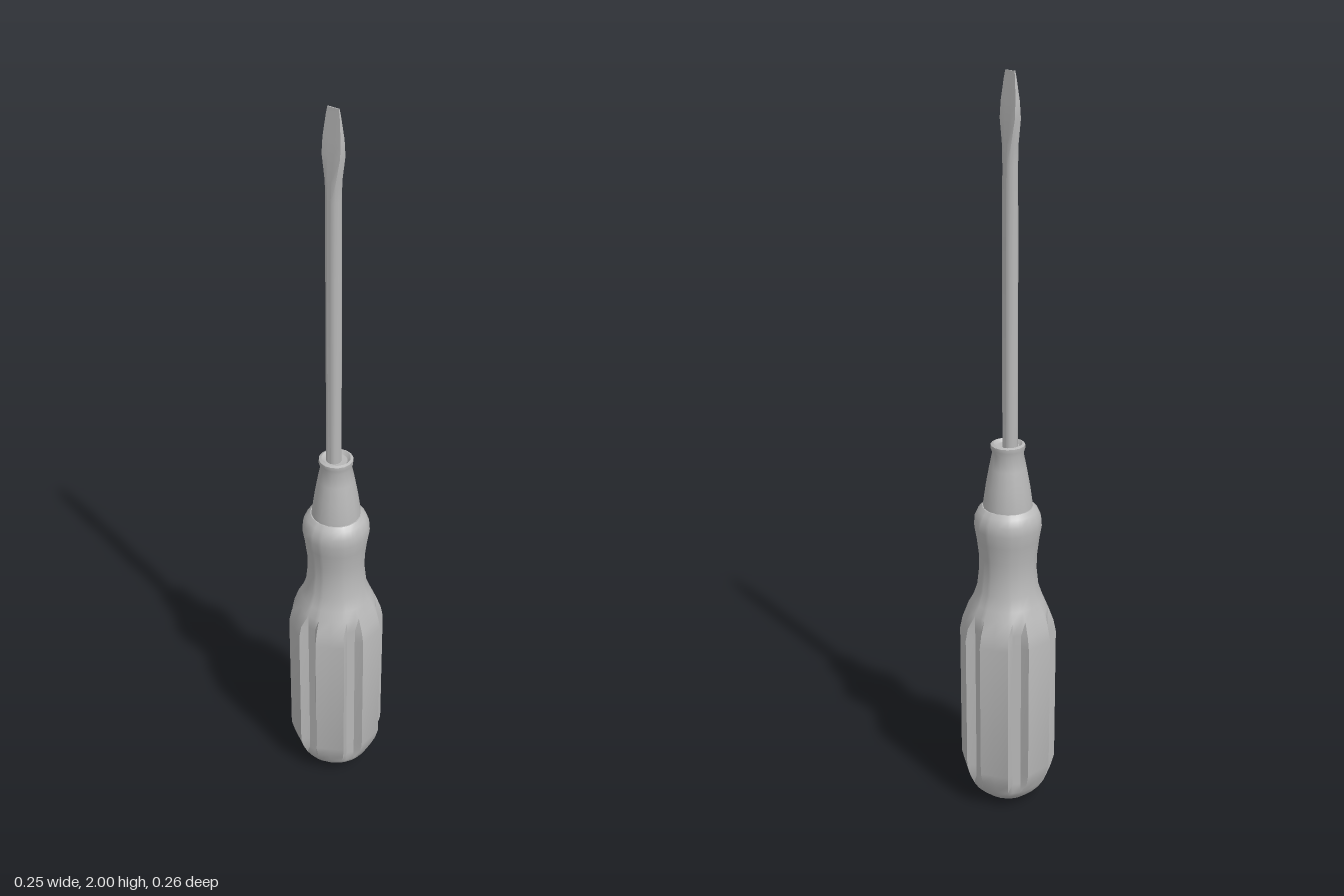
import * as THREE from 'three';
import { toCreasedNormals } from 'three/addons/utils/BufferGeometryUtils.js';

// Skin a stack of equal-length rings of [x, y, z] points, listed from bottom to top, with capped ends
function loft(rings, crease) {
  const n = rings[0].length;
  const pos = rings.flat(2);
  const index = [];
  for (let j = 0; j < rings.length - 1; j++) {
    for (let i = 0; i < n; i++) {
      const a = j * n + i, b = j * n + (i + 1) % n;
      index.push(a, a + n, b, b, a + n, b + n);
    }
  }
  const cap = (ring, start, up) => {
    const centre = pos.length / 3;
    for (let k = 0; k < 3; k++) pos.push(ring.reduce((s, p) => s + p[k], 0) / n);
    for (let i = 0; i < n; i++) {
      const a = start + i, b = start + (i + 1) % n;
      if (up) index.push(centre, b, a);
      else index.push(centre, a, b);
    }
  };
  cap(rings[0], 0, false);
  cap(rings[rings.length - 1], (rings.length - 1) * n, true);
  const geo = new THREE.BufferGeometry();
  geo.setAttribute('position', new THREE.Float32BufferAttribute(pos, 3));
  geo.setIndex(index);
  return toCreasedNormals(geo, crease);
}

// Handle ring: round where thin, six flat lobes with grooves between them where thick
function handleRing(r, y) {
  const ring = [];
  const section = [
    [-17.5, r],
    [0, Math.min(r, Math.max(r * Math.cos(0.305), 0.1))],
    [17.5, r],
    [24, Math.min(r, 0.109)],
    [36, Math.min(r, 0.109)],
  ];
  for (let lobe = 0; lobe < 6; lobe++) {
    for (const [deg, rad] of section) {
      const a = THREE.MathUtils.degToRad(lobe * 60 + deg);
      ring.push([Math.cos(a) * rad, y, Math.sin(a) * rad]);
    }
  }
  return ring;
}

export function createModel() {
  const group = new THREE.Group();
  const steel = new THREE.MeshStandardMaterial({ color: 0xb8b8b8 });
  steel.name = 'plain grey';
  const add = (name, geo) => {
    const mesh = new THREE.Mesh(geo, steel);
    mesh.name = name;
    group.add(mesh);
    return mesh;
  };

  // Fluted grip with a rounded butt and a waisted neck
  const grip = [
    [0.035, 0], [0.07, 0.016], [0.098, 0.042], [0.109, 0.06], [0.122, 0.09], [0.131, 0.125],
    [0.131, 0.52], [0.124, 0.555], [0.109, 0.595], [0.095, 0.62], [0.083, 0.655], [0.077, 0.71],
    [0.078, 0.75], [0.084, 0.8], [0.09, 0.835], [0.088, 0.86], [0.079, 0.88], [0.068, 0.89],
  ];
  add('handle', loft(grip.map(([r, y]) => handleRing(r, y)), 0.6));

  // Tapered collar with a small lip and a dished top
  const collar = [
    [0.066, 0.88], [0.065, 0.9], [0.058, 0.95], [0.049, 1.0], [0.041, 1.04],
    [0.045, 1.052], [0.045, 1.063], [0.038, 1.066], [0.03, 1.058], [0.001, 1.056],
  ].map(([r, y]) => new THREE.Vector2(r, y));
  add('collar', toCreasedNormals(new THREE.LatheGeometry(collar, 16), 0.7));

  // Round shaft, flaring sideways and thinning into a flat blade: [y, half width, half depth, squareness]
  const sections = [
    [1.05, 0.02, 0.02, 0], [1.58, 0.02, 0.02, 0], [1.78, 0.02, 0.018, 0], [1.83, 0.021, 0.016, 0.2],
    [1.89, 0.031, 0.0115, 0.5], [1.93, 0.028, 0.008, 0.7], [1.98, 0.021, 0.003, 0.8], [2.0, 0.017, 0.0015, 0.8],
  ];
  const rings = sections.map(([y, w, d, square]) => {
    const ring = [];
    for (let i = 0; i < 12; i++) {
      const a = (i / 12) * Math.PI * 2 + Math.PI / 12;
      const c = Math.cos(a), s = Math.sin(a);
      const k = 1 + square * (1 / Math.max(Math.abs(c), Math.abs(s)) - 1);
      ring.push([c * k * w, y, s * k * d]);
    }
    return ring;
  });
  const shaft = add('shaftAndBlade', loft(rings, 0.7));
  shaft.position.set(-0.005, 0, 0.003);

  return group;
}
